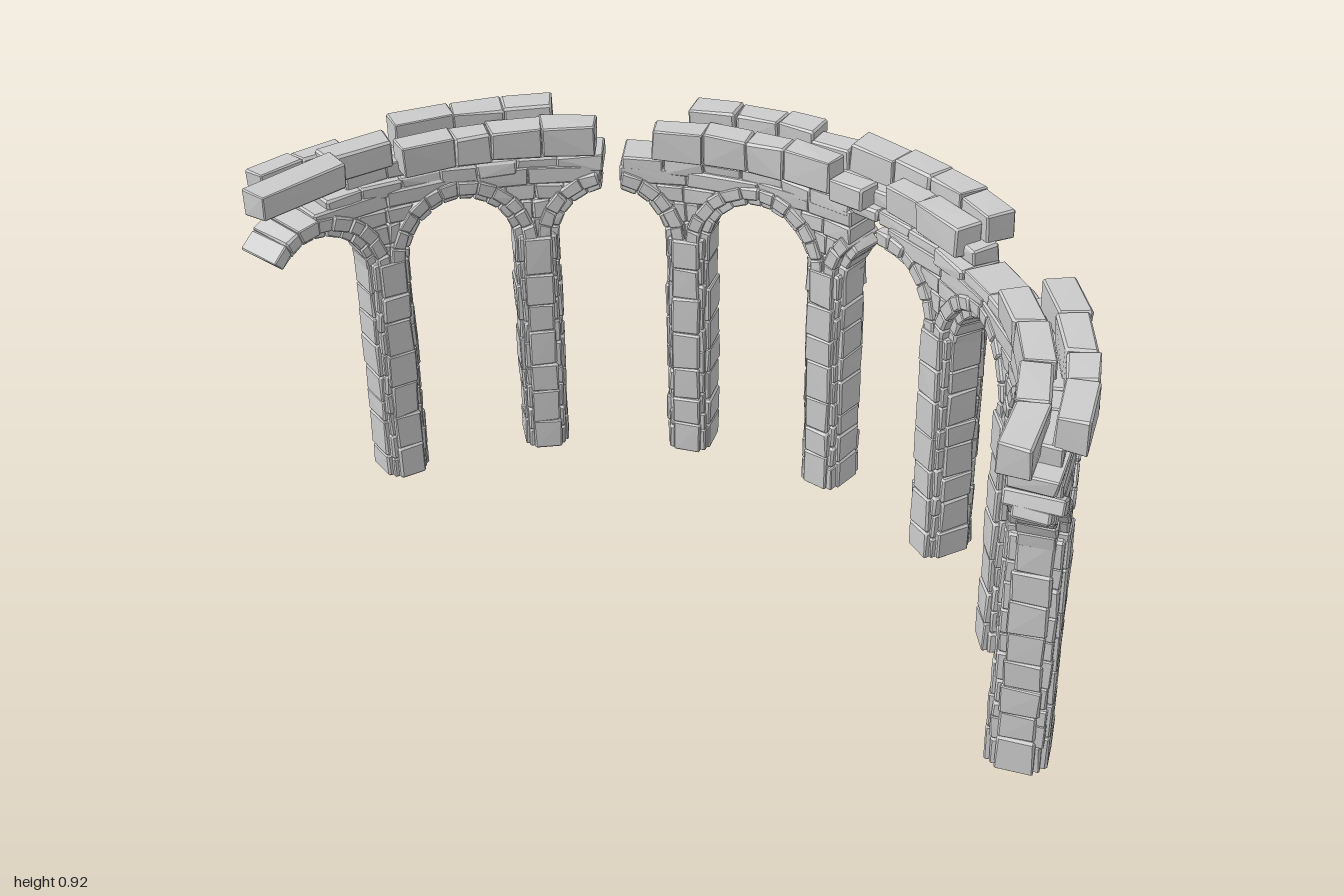
import * as THREE from 'three';
import { mergeGeometries } from 'three/addons/utils/BufferGeometryUtils.js';
import { ConvexGeometry } from 'three/addons/geometries/ConvexGeometry.js';

const R = 0.95, CX = 0.012, CZ = 0.515;  // plan circle of the arcade
const STEP = 22.65, TURN = -1;           // angle between pillars, and of the middle one
const DEG = Math.PI / 180;
const HALF = R * STEP * DEG / 2;         // half a bay, along the arc
const SPRING = 0.585, INNER = 0.133;     // arch springing height and inner radius

let seed = 7;
function rnd() {
  seed = (seed * 16807) % 2147483647;
  return seed / 2147483647;
}
const jitter = (k) => (rnd() - 0.5) * 2 * k;

// Point on the curved wall: s along the arc, y up, r from the plan centre
function wallPoint(angle, s, y, r) {
  const a = angle * DEG + s / R;
  return new THREE.Vector3(CX + r * Math.sin(a), y, CZ - r * Math.cos(a));
}

// Roughly chamfered stone in any (u, v, w) space; scaleU turns u into a length
function stone(map, u0, u1, v0, v1, w0, w1, scaleU = 1, rough = 0.0015) {
  const points = [];
  for (const i of [0, 1]) for (const j of [0, 1]) for (const k of [0, 1]) {
    const c = 0.002 + rnd() * 0.004;
    const u = (i ? u1 : u0) + jitter(rough) / scaleU;
    const v = Math.max(0, (j ? v1 : v0) + jitter(rough));
    const w = (k ? w1 : w0) + jitter(rough);
    const du = (i ? -c : c) / scaleU, dv = j ? -c : c, dw = k ? -c : c;
    points.push(map(u, v + dv, w + dw), map(u + du, v, w + dw), map(u + du, v + dv, w));
  }
  return new ConvexGeometry(points);
}

// Uneven dividing lines between a and b
function cuts(a, b, n, vary = 0.18) {
  return Array.from({ length: n + 1 }, (_, i) =>
    a + (b - a) * (i + (i > 0 && i < n ? jitter(vary) : 0)) / n);
}

export function createModel() {
  const model = new THREE.Group();
  const material = new THREE.MeshStandardMaterial({ color: 0xcccccc, flatShading: true });

  function add(name, stones) {
    const mesh = new THREE.Mesh(mergeGeometries(stones), material);
    mesh.name = name;
    model.add(mesh);
  }

  // Pillars: a stepped cross of stacked piers with staggered courses
  function pillar(angle) {
    const map = (s, y, r) => wallPoint(angle, s, y, r);
    const out = [];
    const pier = (w, d, n) => {
      const ys = cuts(0, SPRING + 0.02, n);
      for (let i = 0; i < n; i++) {
        const e = jitter(0.002);
        out.push(stone(map, -w - e, w + e, ys[i], ys[i + 1], R - d - e, R + d + e));
      }
    };
    pier(0.056, 0.04, 8);
    pier(0.036, 0.066, 7);
    pier(0.047, 0.055, 10);
    add('pillar', out);
  }

  // Spandrel: courses between two arch rings, widening upwards
  function spandrel(angle, left, right) {
    const map = (s, y, r) => wallPoint(angle, s, y, r);
    const ys = [0.59, 0.65, 0.7, 0.742, 0.785];
    const out = [];
    for (let i = 0; i < 4; i++) {
      const h = (ys[i] + ys[i + 1]) / 2 - SPRING;
      const w = HALF - Math.sqrt(Math.max(0, 0.178 ** 2 - h * h));
      const a = -Math.min(w, left), b = Math.min(w, right);
      const mid = (a + b) / 2 + jitter(0.01);
      out.push(stone(map, a, mid, ys[i], ys[i + 1], R - 0.05, R + 0.052));
      out.push(stone(map, mid, b, ys[i], ys[i + 1], R - 0.052, R + 0.05));
    }
    add('spandrel', out);
  }

  // Arch: two rings of voussoirs, the outer one deeper; from/to in degrees
  function arch(angle, from, to) {
    const map = (t, rad, r) =>
      wallPoint(angle, rad * Math.cos(t), SPRING + rad * Math.sin(t), r);
    const out = [];
    const ring = (r0, r1, d, size) => {
      const n = Math.max(2, Math.round((to - from) / size));
      const ts = cuts(from * DEG, to * DEG, n, 0.12);
      for (let i = 0; i < n; i++) {
        const e = jitter(0.002);
        out.push(stone(map, ts[i], ts[i + 1], r0, r1 + e, R - d - e, R + d + e, r1, 0.001));
      }
    };
    ring(INNER, INNER + 0.03, 0.04, 15);
    ring(INNER + 0.022, INNER + 0.056, 0.06, 15);
    add('arch', out);
  }

  // Course: a row of blocks following the curve between two angles
  function course(name, a0, a1, r0, r1, y0, y1, n) {
    const map = (a, y, r) => wallPoint(a, 0, y, r);
    const as = cuts(a0, a1, n);
    const out = [];
    for (let i = 0; i < n; i++) {
      const e = jitter(0.005);
      out.push(stone(map, as[i], as[i + 1], y0, y1 + jitter(0.003), r0 + e, r1 + e, R * DEG, 0.003));
    }
    add(name, out);
  }

  // Ruined spandrels are cut short where their arch has fallen
  const cutLeft = { '-1': 0.165 }, cutRight = { '-2': 0.165, 0: 0.075, 3: 0.11 };
  for (let i = -3; i <= 3; i++) {
    pillar(TURN + i * STEP);
    spandrel(TURN + i * STEP, cutLeft[i] ?? 1, cutRight[i] ?? 1);
  }

  // Bay number from the centre, then the surviving part of the arch
  const arches = [
    [-3.5, 0, 136], [-2.5, 0, 180], [-1.5, 0, 81], [-1.5, 100, 180], [-0.5, 0, 180],
    [0.5, 0, 98], [0.5, 136, 180], [1.5, 0, 180], [2.5, 0, 180], [3.5, 110, 180],
  ];
  for (const [bay, from, to] of arches) arch(TURN + bay * STEP, from, to);

  // Wall courses above the arches
  const walls = [
    [-78, -36.2, 0.9, 1.0, 0.77, 0.81, 7],
    [-33.4, 3, 0.9, 1.0, 0.77, 0.81, 6],
    [3, 14, 0.91, 0.98, 0.778, 0.81, 2],
    [14, 75, 0.9, 1.0, 0.77, 0.81, 9],
    [-74, -38, 0.915, 0.99, 0.805, 0.845, 5],
    [-27, 27, 0.925, 0.995, 0.805, 0.845, 7],
    [40, 72, 0.915, 0.99, 0.805, 0.845, 5],
  ];
  for (const w of walls) course('wallCourse', ...w);

  // Inner ledge of overhanging blocks
  const ledges = [
    [-66, -37, 0.875, 0.945, 0.822, 0.893, 4],
    [-28.5, 0, 0.885, 0.95, 0.815, 0.89, 4],
    [0, 6, 0.875, 0.94, 0.805, 0.86, 1],
    [9, 25, 0.905, 0.97, 0.815, 0.885, 2],
    [41, 77, 0.88, 0.95, 0.818, 0.888, 4],
  ];
  for (const l of ledges) course('innerLedge', ...l);

  // Outer cornice on top, with the loose slabs at the left end
  const cornices = [
    [-91, -76, 0.855, 0.92, 0.85, 0.912, 1],
    [-86, -72.5, 0.955, 1.01, 0.84, 0.9, 2],
    [-77, -67, 0.9, 0.96, 0.845, 0.912, 1],
    [-65, -43, 0.955, 1.025, 0.842, 0.913, 3],
    [-24, -6, 0.965, 1.035, 0.845, 0.912, 3],
    [-6, 0, 0.96, 1.02, 0.835, 0.895, 1],
    [0, 26, 0.965, 1.038, 0.842, 0.914, 4],
    [42, 72, 0.965, 1.032, 0.842, 0.914, 4],
  ];
  for (const c of cornices) course('cornice', ...c);

  return model;
}
